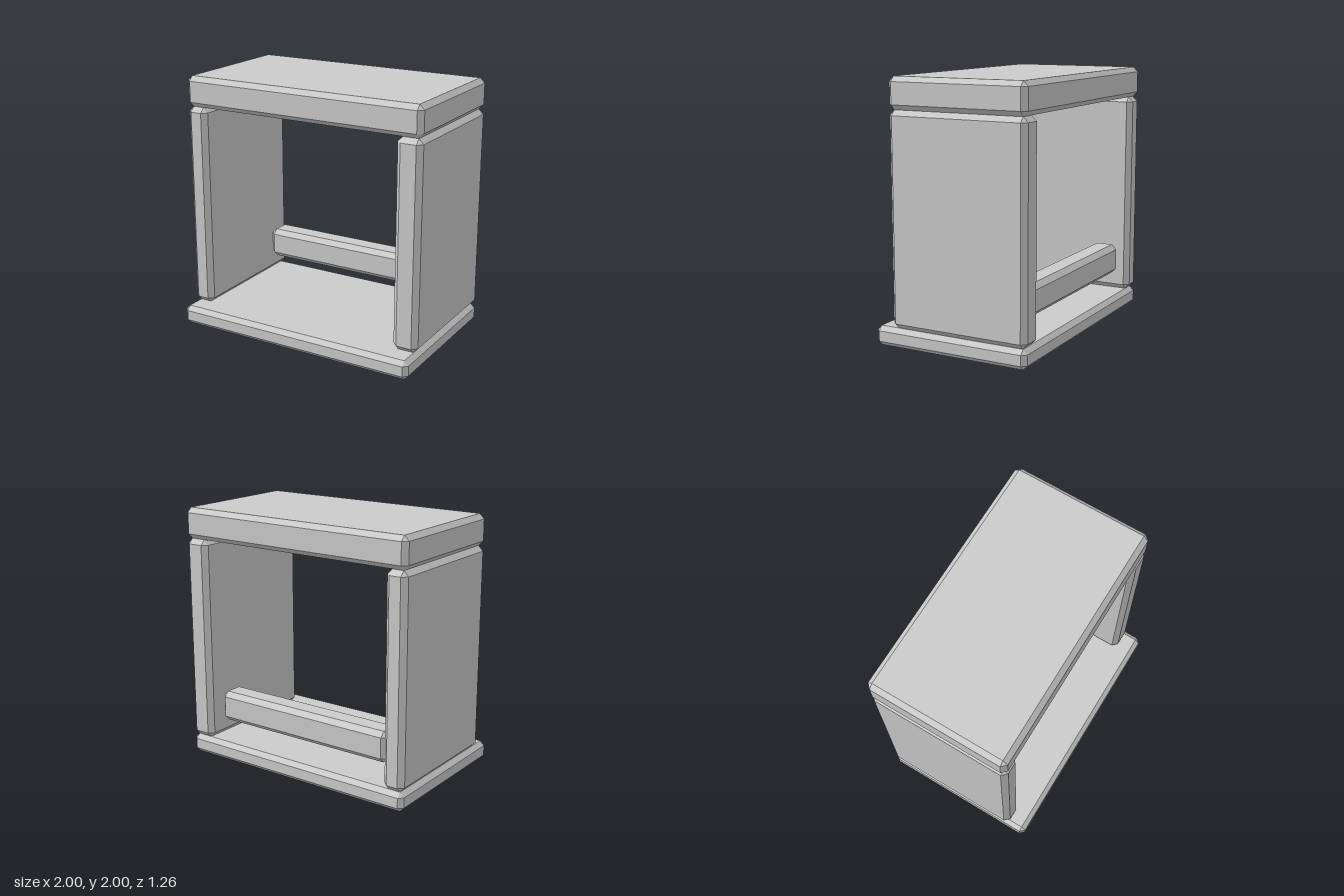
import * as THREE from 'three';
import { ConvexGeometry } from 'three/addons/geometries/ConvexGeometry.js';

const material = new THREE.MeshStandardMaterial({ color: 0xcccccc, flatShading: true });

// Box with every edge cut at 45 degrees, given by its min and max corners
function bevelledBlock(name, min, max, bevel) {
  const half = min.map((v, i) => (max[i] - v) / 2);
  const points = [];
  for (const sx of [-1, 1]) for (const sy of [-1, 1]) for (const sz of [-1, 1]) {
    // Each corner splits into three points, one on each adjoining face
    for (let axis = 0; axis < 3; axis++) {
      const p = [sx, sy, sz].map((s, i) => s * (half[i] - (i === axis ? 0 : bevel)));
      points.push(new THREE.Vector3(...p));
    }
  }
  const mesh = new THREE.Mesh(new ConvexGeometry(points), material);
  mesh.name = name;
  mesh.position.set(...min.map((v, i) => (v + max[i]) / 2));
  return mesh;
}

export function createModel() {
  const group = new THREE.Group();
  group.name = 'stoneFrame';
  group.add(
    // Base slab reaches further forward than the rest
    bevelledBlock('baseSlab', [-1, 0, -0.63], [1, 0.15, 0.63], 0.035),
    // Upright side slabs, the left one slightly thicker
    bevelledBlock('rightSideSlab', [-1, 0.15, -0.63], [-0.83, 1.76, 0.485], 0.039),
    bevelledBlock('leftSideSlab', [0.8, 0.15, -0.63], [1, 1.76, 0.485], 0.039),
    // Top slab
    bevelledBlock('topSlab', [-1, 1.76, -0.63], [1, 2, 0.485], 0.038),
    // Loose crossbar between the sides, near the back
    bevelledBlock('crossbar', [-0.805, 0.3, -0.55], [0.755, 0.54, -0.34], 0.039),
  );
  return group;
}
